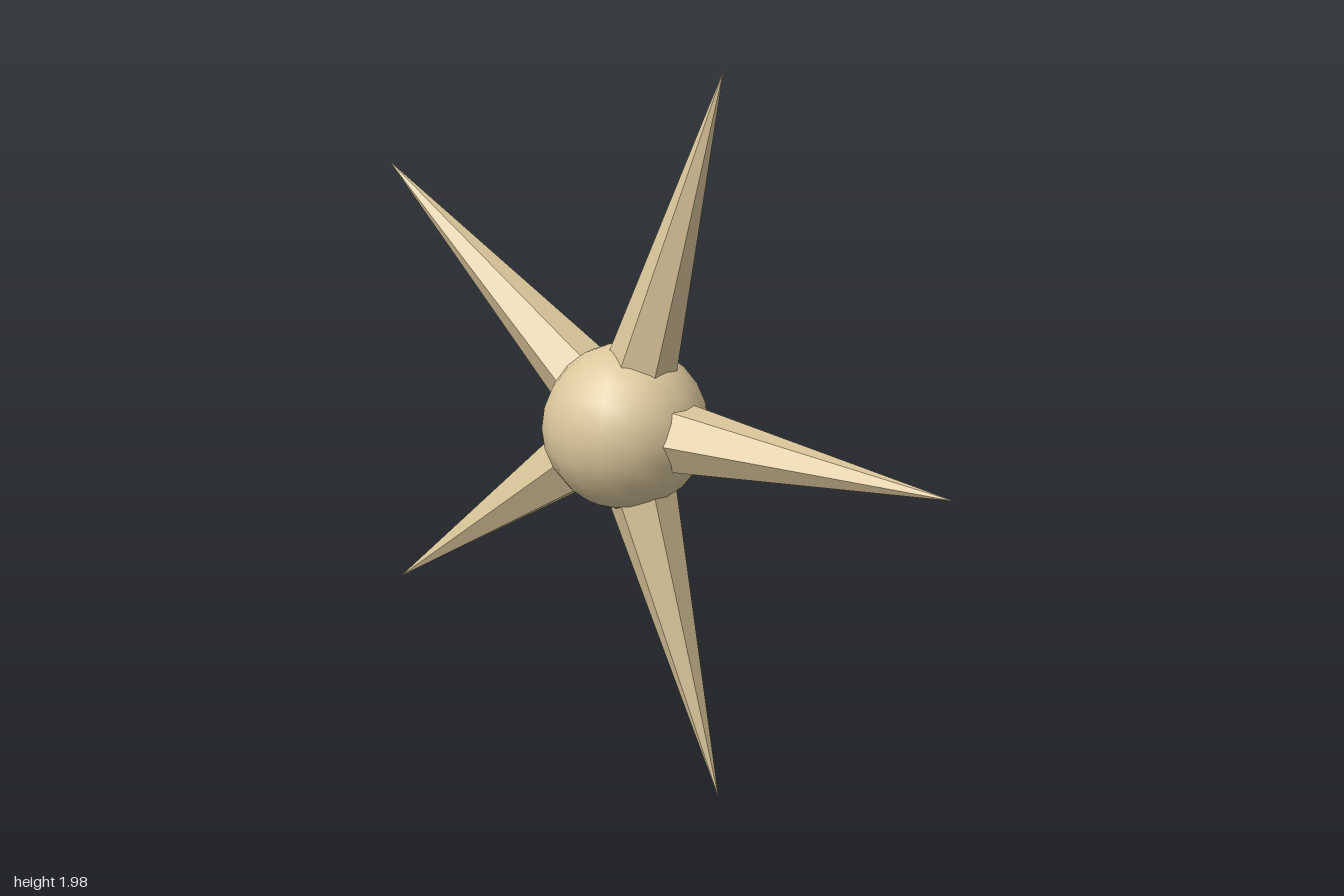
import * as THREE from 'three';

export function createModel() {
  const sand = new THREE.MeshStandardMaterial({ color: 0xdcc89c });
  sand.name = 'sand';
  const sandFaceted = sand.clone();
  sandFaceted.flatShading = true;
  sandFaceted.name = 'sandFaceted';

  const model = new THREE.Group();
  model.name = 'spikedStar';
  model.position.set(-0.108, 1, 0);

  // Round smooth core
  const core = new THREE.Mesh(new THREE.SphereGeometry(0.223, 16, 12), sand);
  core.name = 'core';
  model.add(core);

  // Five six-sided spikes fanned around the core, rooted inside it
  const tip = 1.04, root = 0.12, baseRadius = 0.102;
  const spikeGeometry = new THREE.ConeGeometry(baseRadius, tip - root, 6);
  spikeGeometry.translate(0, (tip + root) / 2, 0);
  for (let i = 0; i < 5; i++) {
    const spike = new THREE.Mesh(spikeGeometry, sandFaceted);
    spike.name = `spike${i + 1}`;
    spike.rotation.z = (i * Math.PI * 2) / 5 - Math.PI / 2;
    model.add(spike);
  }

  const root3d = new THREE.Group();
  root3d.name = 'model';
  root3d.add(model);
  return root3d;
}
